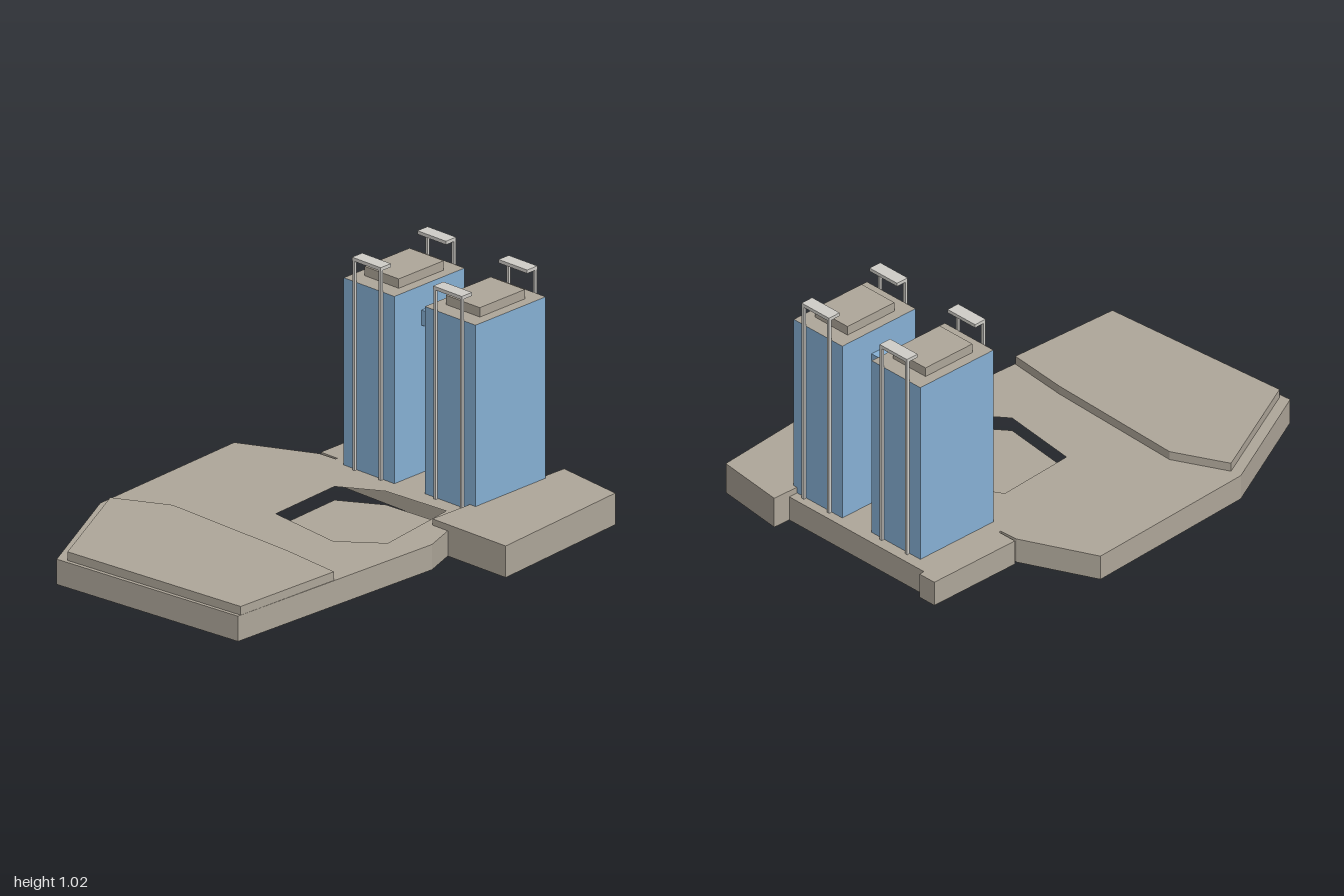
import * as THREE from 'three';
import { mergeGeometries } from 'three/addons/utils/BufferGeometryUtils.js';

const mat = (name, color, side = THREE.FrontSide) => {
  const m = new THREE.MeshStandardMaterial({ color, side });
  m.name = name;
  return m;
};

export function createModel() {
  const model = new THREE.Group();
  model.name = 'twinTowerComplex';
  const stone = mat('stone', 0xaea699, THREE.DoubleSide);
  const glass = mat('blueGlass', 0x86b0d4);
  const metal = mat('paleMetal', 0xcfcdc8);

  const add = (name, geometry, material, parent = model) => {
    const mesh = new THREE.Mesh(geometry, material);
    mesh.name = name;
    parent.add(mesh);
    return mesh;
  };

  // Box given by its limits on each axis
  const box = (x0, x1, y0, y1, z0, z1) =>
    new THREE.BoxGeometry(x1 - x0, y1 - y0, z1 - z0)
      .translate((x0 + x1) / 2, (y0 + y1) / 2, (z0 + z1) / 2);

  // Flat polygon at height y; points are [x, z]
  const toPath = (pts) => pts.map(([x, z]) => new THREE.Vector2(x, -z));
  const plate = (pts, y, hole) => {
    const shape = new THREE.Shape(toPath(pts));
    if (hole) shape.holes.push(new THREE.Path(toPath(hole)));
    return new THREE.ShapeGeometry(shape).rotateX(-Math.PI / 2).translate(0, y, 0);
  };

  // Hollow slab: a top plate with thin outer walls, open below
  const shell = (pts, y0, y1, hole) => {
    const ring = THREE.ShapeUtils.area(toPath(pts)) > 0 ? pts : [...pts].reverse();
    const parts = [plate(pts, y1, hole)];
    ring.forEach(([ax, az], i) => {
      const [bx, bz] = ring[(i + 1) % ring.length];
      const wall = new THREE.PlaneGeometry(Math.hypot(bx - ax, bz - az), y1 - y0);
      wall.rotateY(Math.atan2(az - bz, bx - ax));
      wall.translate((ax + bx) / 2, (y0 + y1) / 2, (az + bz) / 2);
      parts.push(wall);
    });
    return mergeGeometries(parts);
  };

  // Plaza with a sunken court
  const court = [[-0.18, -0.29], [0, -0.395], [0.31, -0.415], [0.37, -0.02], [0.2, 0.115], [-0.155, 0.07]];
  add('plaza', shell([
    [-0.775, -0.34], [-0.455, -0.49], [-0.37, -0.495], [0.39, -0.48], [0.455, -0.27],
    [0.505, -0.13], [0.457, 0.925], [-0.46, 1], [-0.73, 0.47],
  ], 0, 0.108, court), stone);
  add('courtFloor', plate(court, 0.05), stone);

  // Raised terrace at the front
  add('frontTerrace', shell([
    [-0.68, 0.465], [-0.45, 0.35], [0.2, 0.372], [0.478, 0.4], [0.457, 0.91], [-0.42, 0.98],
  ], 0.108, 0.145), stone);

  // Podium under the towers and the side block
  add('towerPodium', shell([
    [-0.46, -0.505], [-0.37, -0.505], [-0.37, -0.495], [0.385, -0.48], [0.393, -0.92],
    [-0.375, -0.92], [-0.375, -0.945], [-0.46, -0.945],
  ], 0, 0.108), stone);
  add('sideBlock', shell([
    [0.393, -1], [0.71, -0.96], [0.77, -0.273], [0.37, -0.273],
  ], 0, 0.135), stone);

  // Towers with roof box and front and back service frames
  const makeTower = (name, x, z) => {
    const tower = new THREE.Group();
    tower.name = name;
    tower.position.set(x, 0, z);
    model.add(tower);
    add('towerBody', box(-0.138, 0.138, 0.11, 0.91, -0.2, 0.2),
      [glass, glass, stone, glass, glass, glass], tower);
    add('roofBox', box(-0.093, 0.093, 0.91, 0.95, -0.128, 0.128), stone, tower);
    for (const side of [-1, 1]) {
      const frame = new THREE.Group();
      frame.name = side > 0 ? 'frontFrame' : 'backFrame';
      tower.add(frame);
      for (const px of [-0.072, 0.072]) {
        add('framePost', box(px - 0.006, px + 0.006, 0.11, 1.005, -0.006, 0.006)
          .translate(0, 0, side * 0.208), metal, frame);
      }
      add('frameTop', box(-0.078, 0.078, 1.005, 1.02, -0.029, 0.029)
        .translate(0, 0, side * 0.186), metal, frame);
    }
  };
  makeTower('rightTower', -0.164, -0.67);
  makeTower('leftTower', 0.269, -0.68);

  // Bridge between the towers
  add('skyBridge', box(-0.026, 0.131, 0.74, 0.805, -0.72, -0.625), glass);

  return model;
}
